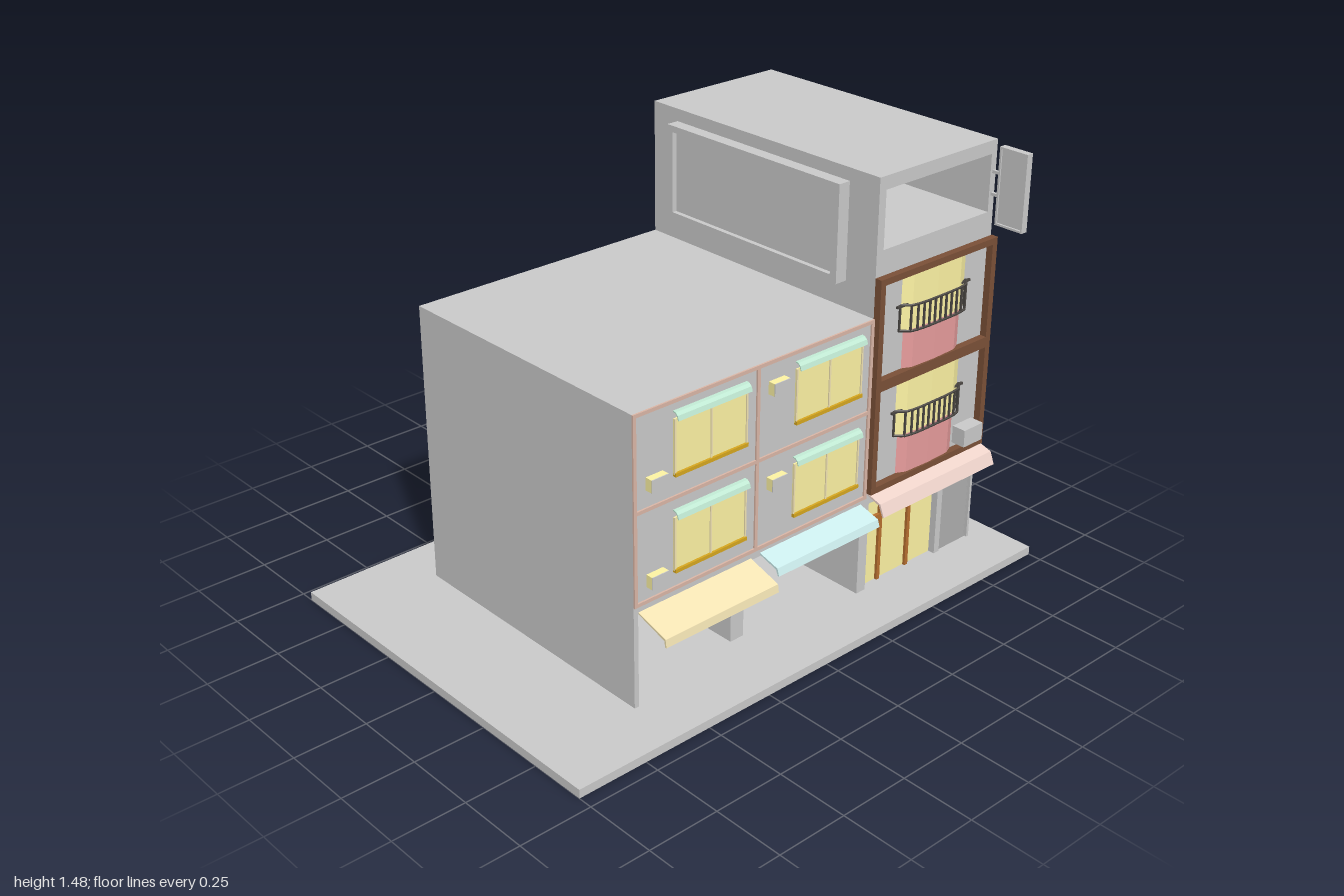
import * as THREE from 'three';

const mats = {};
const mat = (color) => (mats[color] ??= new THREE.MeshStandardMaterial({ color, side: THREE.DoubleSide, flatShading: true }));
const GREY = 0xcccccc, YELLOW = 0xfff5a5, PINK = 0xe89d9d, BROWN = 0x7c5138, TRIM = 0xddb8a8,
  GOLD = 0xd8a820, IRON = 0x4c4844, WOOD = 0xb87030, GREEN = 0xbfe8d2, CREAM = 0xf5e6b5, TEAL = 0xcdeeee, BLUSH = 0xf0d5cc;
const FACE = 0.51; // x of the street facade

export function createModel() {
  const root = new THREE.Group();
  root.name = 'cornerShops';

  const add = (name, geometry, color = GREY, parent = root) => {
    const mesh = new THREE.Mesh(geometry, mat(color));
    mesh.name = name;
    parent.add(mesh);
    return mesh;
  };
  // Box given by its two extremes on each axis
  const box = (name, [x0, x1], [y0, y1], [z0, z1], color, parent) => {
    const m = add(name, new THREE.BoxGeometry(x1 - x0, y1 - y0, z1 - z0), color, parent);
    m.position.set((x0 + x1) / 2, (y0 + y1) / 2, (z0 + z1) / 2);
    return m;
  };
  const group = (name, parent = root) => {
    const g = new THREE.Group();
    g.name = name;
    parent.add(g);
    return g;
  };
  // Profile in x,y swept along z
  const sweep = (name, points, z0, z1, color, parent) => {
    const shape = new THREE.Shape(points.map(([x, y]) => new THREE.Vector2(x, y)));
    const m = add(name, new THREE.ExtrudeGeometry(shape, { depth: z1 - z0, bevelEnabled: false }), color, parent);
    m.position.z = z0;
    return m;
  };
  // Rectangular ring of four bars on the facade
  const facadeFrame = (name, x, [y0, y1], [z0, z1], w, color, parent) => {
    const g = group(name, parent);
    box('lowerBar', x, [y0, y0 + w], [z0, z1], color, g);
    box('upperBar', x, [y1 - w, y1], [z0, z1], color, g);
    box('rearPost', x, [y0 + w, y1 - w], [z0, z0 + w], color, g);
    box('frontPost', x, [y0 + w, y1 - w], [z1 - w, z1], color, g);
  };

  box('groundPlate', [-0.7, 0.7], [0, 0.03], [-1, 1]);

  // Low wing: open shops below, solid floors above
  const low = group('lowWing');
  box('upperFloors', [-FACE, FACE], [0.355, 1.015], [-0.355, 0.63], GREY, low);
  box('shopBackWall', [-FACE, -0.47], [0.03, 0.355], [-0.355, 0.63], GREY, low);
  box('shopEndWall', [-0.47, FACE], [0.03, 0.355], [0.613, 0.63], GREY, low);
  box('shopDivider', [-0.47, 0.44], [0.03, 0.355], [0.115, 0.17], GREY, low);
  box('shopInnerWall', [-0.47, FACE], [0.03, 0.355], [-0.355, -0.335], GREY, low);

  // Tall wing
  const tall = group('tallWing');
  box('body', [-FACE, 0.47], [0.03, 0.355], [-0.9, -0.355], GREY, tall);
  box('upperFloors', [-FACE, FACE], [0.355, 1.15], [-0.9, -0.355], GREY, tall);
  for (const [a, b] of [[-0.375, -0.355], [-0.745, -0.72], [-0.9, -0.89]])
    box('shopPier', [0.47, FACE], [0.03, 0.355], [a, b], GREY, tall);

  // Top storey, hollow and open to the street
  const loft = group('topStorey');
  box('floor', [-FACE, FACE], [1.15, 1.235], [-0.9, -0.355], GREY, loft);
  box('roof', [-FACE, FACE], [1.43, 1.475], [-0.9, -0.355], GREY, loft);
  box('endWall', [-FACE, -0.48], [1.235, 1.43], [-0.9, -0.355], GREY, loft);
  box('frontWall', [-0.48, FACE], [1.235, 1.43], [-0.385, -0.355], GREY, loft);
  box('rearWall', [-0.48, FACE], [1.235, 1.43], [-0.9, -0.875], GREY, loft);

  // Roof billboard with recessed panel
  const board = group('billboard');
  const rim = new THREE.Shape();
  const rect = (path, x0, y0, x1, y1) =>
    path.moveTo(x0, y0).lineTo(x1, y0).lineTo(x1, y1).lineTo(x0, y1).closePath();
  rect(rim, -0.395, 1.105, 0.387, 1.432);
  const hole = new THREE.Path();
  rect(hole, -0.37, 1.13, 0.36, 1.41);
  rim.holes.push(hole);
  add('rim', new THREE.ExtrudeGeometry(rim, { depth: 0.045, bevelEnabled: false }), GREY, board).position.z = -0.355;
  box('panel', [-0.37, 0.36], [1.13, 1.41], [-0.355, -0.327], GREY, board);

  // Projecting blade sign
  const sign = group('bladeSign');
  box('panel', [0.545, 0.645], [1.208, 1.455], [-0.895, -0.88], GREY, sign);
  for (const y of [1.2, 1.455]) box('rail', [0.54, 0.65], [y, y + 0.007], [-0.9, -0.875], GREY, sign);
  for (const x of [0.54, 0.643]) box('stile', [x, x + 0.007], [1.207, 1.455], [-0.9, -0.875], GREY, sign);
  for (const y of [1.29, 1.365]) box('bracket', [FACE, 0.54], [y, y + 0.01], [-0.893, -0.883], GREY, sign);

  // Low wing facade trim
  const trim = group('facadeTrim');
  for (const z of [0.618, 0.134, -0.355]) box('pilaster', [FACE, 0.516], [0.385, 1.015], [z, z + 0.012], TRIM, trim);
  for (const y of [0.383, 0.69, 1.003]) box('band', [FACE, 0.516], [y, y + 0.012], [-0.355, 0.63], TRIM, trim);

  // Windows with curved hoods, plus air conditioners
  for (const [floor, y] of [['lower', 0.45], ['upper', 0.772]]) {
    for (const z of [0.185, -0.307]) {
      const w = group(floor + 'Window');
      box('glass', [FACE, 0.514], [y, y + 0.18], [z, z + 0.29], YELLOW, w);
      for (const f of [0, 0.5, 1]) box('mullion', [FACE, 0.518], [y, y + 0.18], [z + f * 0.284, z + f * 0.284 + 0.006], CREAM, w);
      box('sill', [FACE, 0.522], [y - 0.006, y + 0.006], [z, z + 0.29], GOLD, w);
      const hood = [[FACE, y + 0.205], [0.521, y + 0.203], [0.53, y + 0.195], [0.535, y + 0.18],
        [0.531, y + 0.18], [0.527, y + 0.192], [0.52, y + 0.199], [FACE, y + 0.201]];
      sweep('hood', hood, z, z + 0.29, GREEN, w);
    }
    for (const [z, dy] of [[0.515, -0.014], [0.03, 0.132]]) {
      const ac = group('airConditioner');
      box('case', [FACE, 0.535], [y + dy, y + dy + 0.042], [z, z + 0.065], YELLOW, ac);
      box('grille', [0.535, 0.538], [y + dy, y + dy + 0.042], [z, z + 0.065], GREY, ac);
    }
  }

  // Sloping shop awnings with drop lips
  const awning = (name, [y0, y1, y2], [x1, x2], z0, z1, color) => {
    const t = 0.006;
    sweep(name, [[FACE, y0], [x1, y1], [x2, y2], [x2 - t, y2], [x1 - t, y1 - t], [FACE, y0 - t]], z0, z1, color);
  };
  awning('creamAwning', [0.362, 0.325, 0.298], [0.63, 0.634], 0.155, 0.612, CREAM);
  awning('tealAwning', [0.367, 0.345, 0.32], [0.588, 0.596], -0.335, 0.117, TEAL);
  awning('blushAwning', [0.405, 0.385, 0.343], [0.575, 0.592], -0.905, -0.357, BLUSH);

  // Glazed shopfront and slatted shutter
  const shop = group('shopfront');
  box('glass', [0.47, 0.485], [0.03, 0.355], [-0.72, -0.375], YELLOW, shop);
  for (const z of [-0.462, -0.602]) box('post', [0.485, 0.495], [0.03, 0.355], [z, z + 0.014], WOOD, shop);
  box('transom', [0.485, 0.497], [0.264, 0.284], [-0.72, -0.375], WOOD, shop);
  const shutter = group('shutter');
  for (let i = 0; i < 13; i++) {
    const y = 0.03 + i * 0.025;
    sweep('slat', [[0.47, y], [0.502, y], [0.49, y + 0.025], [0.47, y + 0.025]], -0.89, -0.745, 0x999999, shutter);
  }

  // Brown facade frame
  facadeFrame('brownFrame', [FACE, 0.535], [0.402, 1.15], [-0.905, -0.355], 0.022, BROWN);
  box('brownFrameMiddleBar', [FACE, 0.535], [0.765, 0.802], [-0.883, -0.377], BROWN);

  // Bowed bays and balcony railings
  const bay = (name, y0, y1, half, color, parent) => {
    const s = new THREE.Shape();
    s.moveTo(0, -half).lineTo(0.016, -half * 0.75).lineTo(0.02, 0).lineTo(0.016, half * 0.75).lineTo(0, half).closePath();
    const g = new THREE.ExtrudeGeometry(s, { depth: y1 - y0, bevelEnabled: false }).rotateX(-Math.PI / 2);
    add(name, g, color, parent).position.set(FACE, y0, -0.63);
  };
  const bow = (t) => new THREE.Vector3(FACE + 0.004 + 0.034 * Math.sqrt(Math.max(0, 1 - t ** 4)), 0, -0.627 + t * 0.155);
  const railCurve = new THREE.CatmullRomCurve3(Array.from({ length: 13 }, (_, i) => bow(i / 6 - 1)));
  for (const [y0, yRail, y1] of [[0.424, 0.567, 0.765], [0.802, 0.937, 1.128]]) {
    const b = group('bay');
    bay('lowerBay', y0, yRail, 0.135, PINK, b);
    bay('upperBay', yRail, y1, 0.15, YELLOW, b);
    const railing = group('railing', b);
    for (const dy of [0.004, 0.092])
      add('rail', new THREE.TubeGeometry(railCurve, 24, 0.0045, 5), IRON, railing).position.y = yRail + dy;
    for (let i = 0; i < 13; i++) {
      const p = bow(i / 6 - 1);
      box('baluster', [p.x - 0.003, p.x + 0.003], [yRail, yRail + 0.092], [p.z - 0.003, p.z + 0.003], IRON, railing);
    }
    box('handrailBar', [0.512, 0.52], [yRail + 0.084, yRail + 0.092], [-0.8, -0.455], IRON, railing);
  }

  box('outdoorUnit', [FACE, 0.562], [0.44, 0.502], [-0.867, -0.775]);

  return root;
}
